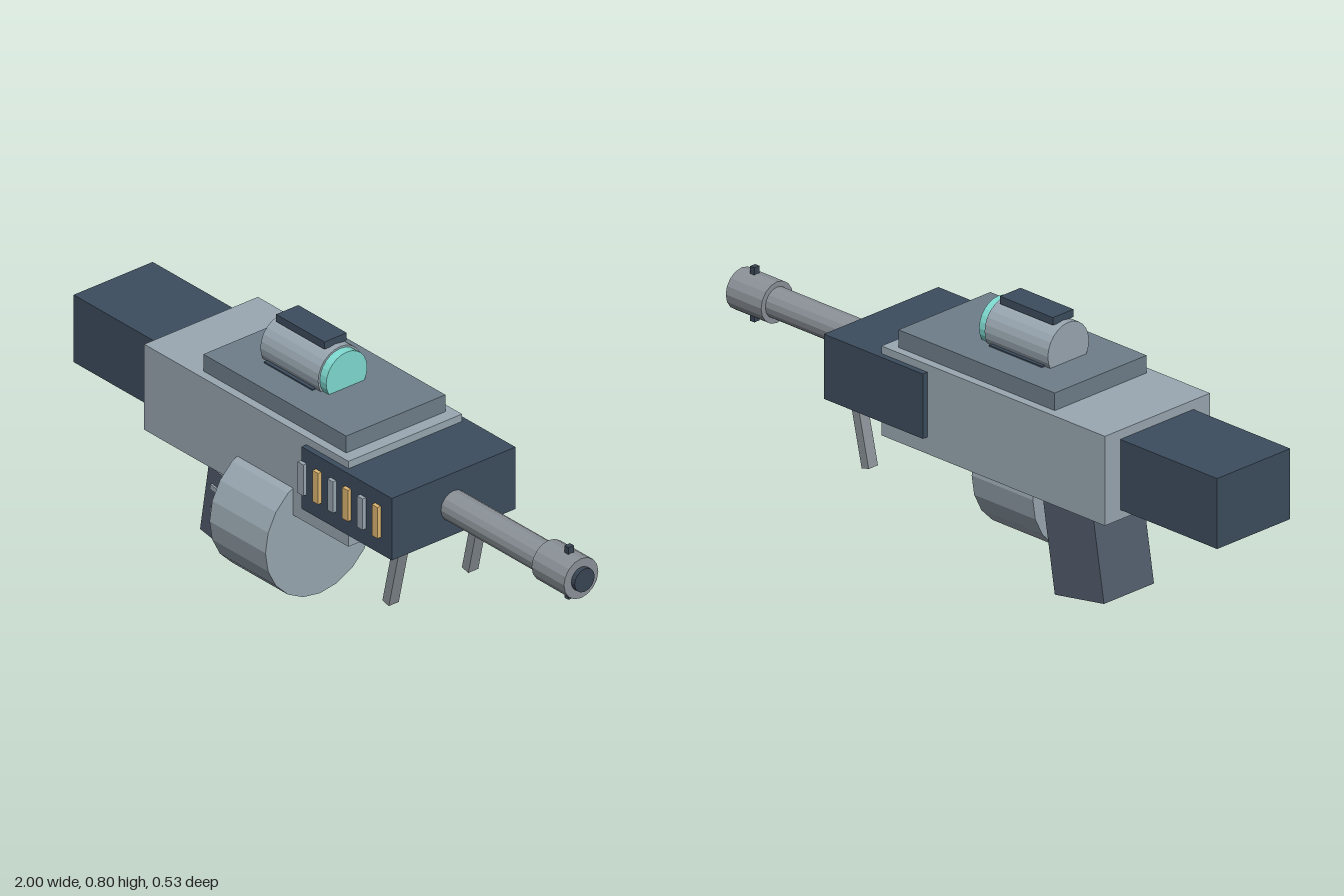
import * as THREE from 'three';

const COLORS = {
  dark: 0x3d4d5e, body: 0x9aa8b2, plate: 0x6f7e8a, grip: 0x525c6b,
  metal: 0x8b9298, gold: 0xdfb873, lens: 0x80dcd2, bore: 0x3a4655,
};
const AXIS_Z = -0.04; // the barrel line

export function createModel() {
  const model = new THREE.Group();
  model.name = 'blaster';

  const materials = {};
  for (const key in COLORS) {
    materials[key] = new THREE.MeshStandardMaterial({ color: COLORS[key], flatShading: true });
  }

  function add(name, geometry, color, x, y, z, tilt = 0) {
    const mesh = new THREE.Mesh(geometry, materials[color]);
    mesh.name = name;
    mesh.position.set(x, y, z);
    mesh.rotation.z = tilt;
    model.add(mesh);
    return mesh;
  }
  // Box given by its limits on each axis
  function box(name, color, [x0, x1], [y0, y1], [z0, z1]) {
    return add(name, new THREE.BoxGeometry(x1 - x0, y1 - y0, z1 - z0), color,
      (x0 + x1) / 2, (y0 + y1) / 2, (z0 + z1) / 2);
  }
  // Cylinder lying along x
  function tube(name, color, [x0, x1], radius, y, z, sides) {
    const geometry = new THREE.CylinderGeometry(radius, radius, x1 - x0, sides).rotateZ(-Math.PI / 2);
    return add(name, geometry, color, (x0 + x1) / 2, y, z);
  }

  // Main blocks
  box('stock', 'dark', [-1, -0.62], [0.365, 0.577], [-0.185, 0.1]);
  box('receiver', 'body', [-0.625, 0.24], [0.336, 0.605], [-0.245, 0.165]);
  box('topPlate', 'plate', [-0.405, 0.2], [0.6, 0.658], [-0.219, 0.139]);
  box('handguard', 'dark', [0.062, 0.445], [0.387, 0.582], [-0.263, 0.183]);

  // Alternating slots on the front side of the handguard
  for (let i = 0; i < 6; i++) {
    const x = 0.072 + i * 0.0628;
    box('slot', i % 2 ? 'gold' : 'body', [x - 0.012, x + 0.012], [0.44, 0.538], [0.17, 0.195]);
  }

  // Barrel, muzzle and sight pin
  tube('barrel', 'metal', [0.43, 0.86], 0.046, 0.48, AXIS_Z, 16);
  tube('muzzle', 'metal', [0.848, 0.985], 0.062, 0.48, AXIS_Z, 16);
  tube('bore', 'bore', [0.95, 1], 0.036, 0.48, AXIS_Z, 16);
  box('muzzlePin', 'bore', [0.926, 0.943], [0.398, 0.562], [AXIS_Z - 0.01, AXIS_Z + 0.01]);

  // Scope
  box('scopeBase', 'dark', [-0.26, -0.055], [0.64, 0.662], [-0.123, 0.044]);
  tube('scopeBody', 'body', [-0.28, -0.035], 0.08, 0.695, AXIS_Z, 24);
  tube('scopeLens', 'lens', [-0.06, -0.008], 0.074, 0.695, AXIS_Z, 24);
  box('scopeRail', 'dark', [-0.26, -0.055], [0.772, 0.795], [-0.08, 0]);

  // Drum magazine
  tube('drumMagazine', 'body', [-0.231, 0.006], 0.197, 0.252, 0.068, 20);

  // Raked grip with ribs on its front side
  const rake = THREE.MathUtils.degToRad(-9.5);
  add('grip', new THREE.BoxGeometry(0.193, 0.4, 0.195), 'grip', -0.386, 0.213, -0.0395, rake);
  for (let i = 0; i < 4; i++) {
    add('gripRib', new THREE.BoxGeometry(0.152, 0.016, 0.012), 'body',
      -0.39, 0.318 - i * 0.071, 0.058, rake);
  }

  // Folding legs under the handguard
  const legTilt = THREE.MathUtils.degToRad(-13);
  for (const z of [0.104, -0.183]) {
    add('leg', new THREE.BoxGeometry(0.028, 0.25, 0.036), 'metal', 0.375, 0.31, z, legTilt);
  }

  return model;
}
